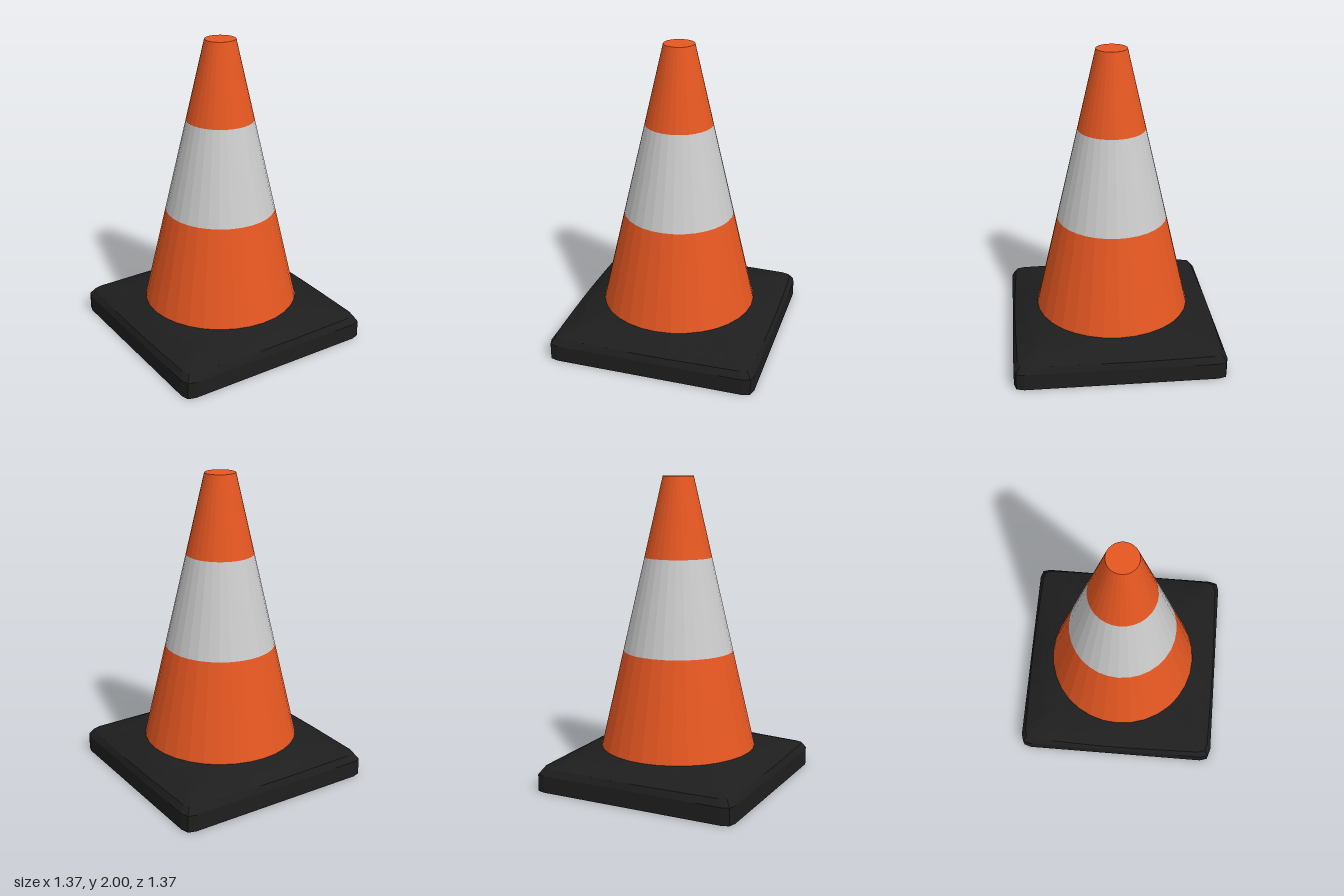
import * as THREE from 'three';

const SIDES = 32, TOP = 0.1, BOTTOM = 0.51, BASE_Y = 0.23, HEIGHT = 2;

const coneRadius = y => THREE.MathUtils.mapLinear(y, BASE_Y, HEIGHT, BOTTOM, TOP);

// Distance from the centre to a square outline with clipped corners
function outlineRadius(a) {
  const s = Math.abs(Math.sin(a)), c = Math.abs(Math.cos(a));
  const hi = Math.max(s, c), lo = Math.min(s, c);
  return Math.min(0.685 / hi, 0.871 / (hi + 0.3 * lo));
}

// Loft from the square foot up to the circle under the cone
function baseGeometry() {
  const angles = [];
  for (let i = 0; i < SIDES; i++) angles.push(i * 2 * Math.PI / SIDES);
  const clip = Math.atan2(0.62, 0.685);
  for (let q = 0; q < 4; q++) {
    angles.push(q * Math.PI / 2 + clip, (q + 1) * Math.PI / 2 - clip);
  }
  angles.sort((a, b) => a - b);

  // [height, blend from circle (0) to square (1), scale]
  const rows = [[0, 1, 0], [0, 1, 1], [0.11, 1, 1], [0.152, 0.91, 1],
    [0.195, 0.51, 1], [0.217, 0.23, 1], [0.235, 0, 1]];
  const positions = [], index = [], n = angles.length;
  for (const [y, k, scale] of rows) {
    for (const a of angles) {
      const r = scale * THREE.MathUtils.lerp(BOTTOM, outlineRadius(a), k);
      positions.push(r * Math.sin(a), y, r * Math.cos(a));
    }
  }
  for (let j = 0; j < rows.length - 1; j++) {
    for (let i = 0; i < n; i++) {
      const a = j * n + i, b = j * n + (i + 1) % n;
      if (j > 0) index.push(a, b, b + n);
      index.push(a, b + n, a + n);
    }
  }
  const geometry = new THREE.BufferGeometry();
  geometry.setAttribute('position', new THREE.Float32BufferAttribute(positions, 3));
  geometry.setIndex(index);
  const flat = geometry.toNonIndexed();
  flat.computeVertexNormals();
  return flat;
}

export function createModel() {
  const model = new THREE.Group();
  model.name = 'trafficCone';
  const paint = color => new THREE.MeshStandardMaterial({ color, flatShading: true });
  const orange = paint(0xe65722), grey = paint(0xcccccc), black = paint(0x1e1e1e);

  const add = (name, geometry, material) => {
    const mesh = new THREE.Mesh(geometry, material);
    mesh.name = name;
    model.add(mesh);
    return mesh;
  };

  add('base', baseGeometry(), black);

  // Cone body in three stacked bands; only the tip is capped
  const bands = [['lowerCone', BASE_Y, 0.87, orange], ['reflectiveBand', 0.87, 1.48, grey],
    ['upperCone', 1.48, HEIGHT, orange]];
  for (const [name, y0, y1, material] of bands) {
    const geometry = new THREE.CylinderGeometry(
      coneRadius(y1), coneRadius(y0), y1 - y0, SIDES, 1, true);
    add(name, geometry, material).position.y = (y0 + y1) / 2;
  }
  const tip = add('tipCap', new THREE.CircleGeometry(TOP, SIDES), orange);
  tip.rotation.x = -Math.PI / 2;
  tip.position.y = HEIGHT;

  return model;
}
